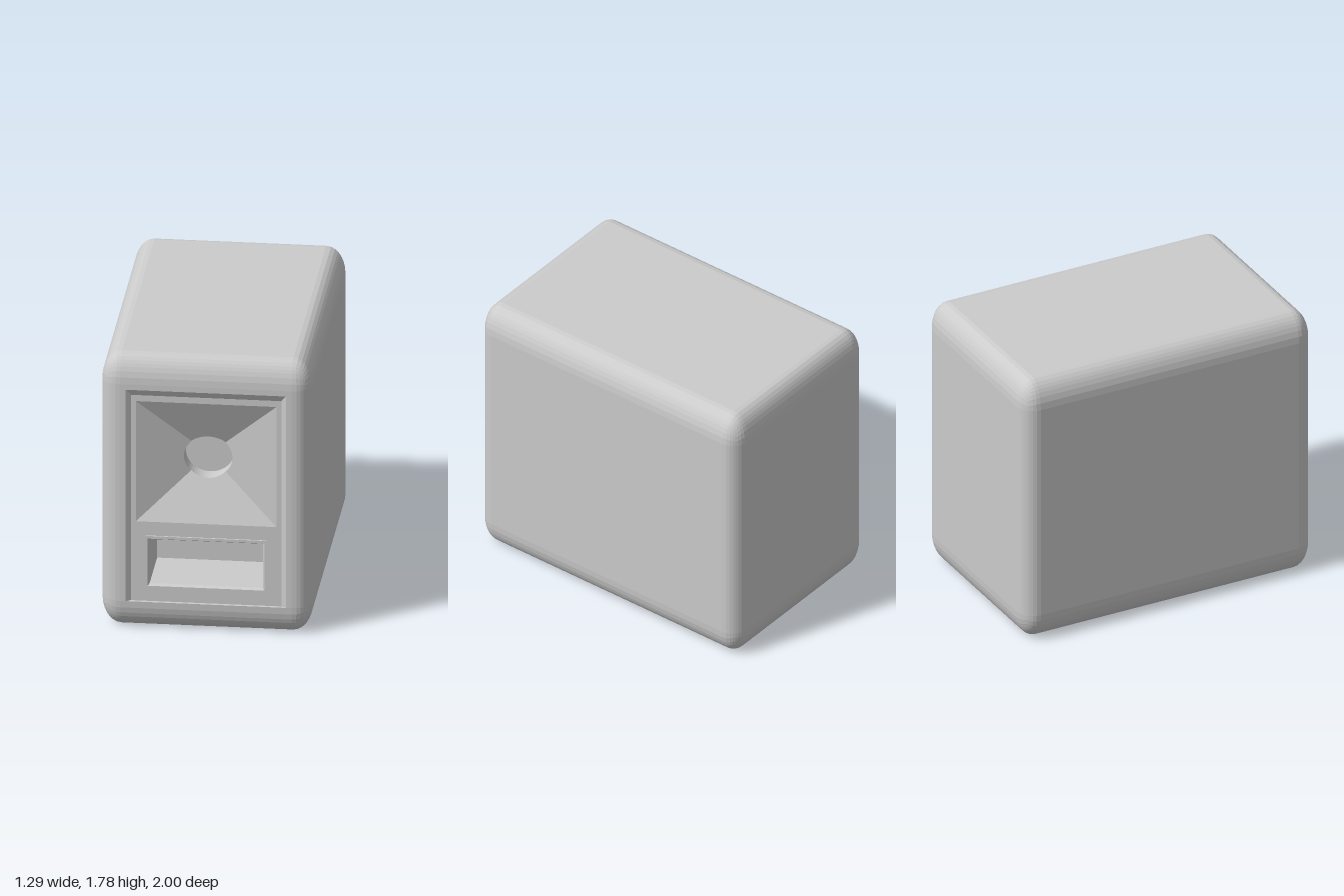
import * as THREE from 'three';
import { RoundedBoxGeometry } from 'three/addons/geometries/RoundedBoxGeometry.js';

const W = 1.29, H = 1.785, D = 2;
const R = [0.12, 0.18, 0.11]; // edge radius along x, y, z
const FRONT = D / 2, PANEL = FRONT - 0.02;
const material = new THREE.MeshStandardMaterial({ color: 0xcccccc, flatShading: true });

function add(group, name, geometry, z = 0) {
  const mesh = new THREE.Mesh(geometry, material);
  mesh.name = name;
  mesh.position.z = z;
  group.add(mesh);
}

// Counter-clockwise rectangle loop
const rect = (hx, y0, y1, z = 0) =>
  [[-hx, y0], [hx, y0], [hx, y1], [-hx, y1]].map(([x, y]) => new THREE.Vector3(x, y, z));

// Flat face with optional holes
function plate(outline, holes = []) {
  const to2 = (loop) => loop.map((p) => new THREE.Vector2(p.x, p.y));
  const shape = new THREE.Shape(to2(outline));
  holes.forEach((h) => shape.holes.push(new THREE.Path(to2(h))));
  return new THREE.ShapeGeometry(shape);
}

// Skin through closed loops, ordered from the outside inwards
function loft(loops) {
  const points = [];
  for (let k = 0; k < loops.length - 1; k++) {
    const a = loops[k], b = loops[k + 1], n = a.length;
    for (let i = 0; i < n; i++) {
      const j = (i + 1) % n;
      points.push(a[i], a[j], b[j], a[i], b[j], b[i]);
    }
  }
  const geometry = new THREE.BufferGeometry().setFromPoints(points);
  geometry.computeVertexNormals();
  return geometry;
}

// Rounded box with a different radius per axis and its flat front left open
function cabinetGeometry() {
  const box = new RoundedBoxGeometry(W, H, D, 4, 0.1).toNonIndexed();
  const pos = box.attributes.position, nor = box.attributes.normal;
  const half = [W / 2, H / 2, D / 2], points = [];
  for (let i = 0; i < pos.count; i += 3) {
    const tri = [0, 1, 2].map((k) => new THREE.Vector3(...half.map((h, axis) => {
      const side = Math.sign(pos.getComponent(i + k, axis));
      return side * (h - R[axis]) + nor.getComponent(i + k, axis) * R[axis];
    })));
    if (tri.every((p) => p.z > FRONT - 1e-4)) continue;
    points.push(...tri);
  }
  const geometry = new THREE.BufferGeometry().setFromPoints(points);
  geometry.translate(0, H / 2, 0);
  geometry.computeVertexNormals();
  return geometry;
}

export function createModel() {
  const group = new THREE.Group();
  group.name = 'loudspeaker';

  add(group, 'cabinet', cabinetGeometry());

  // Front border: an upside-down U around the recess
  const fx = W / 2 - R[0], y0 = R[1], y1 = H - R[1];
  const border = [[-fx, y0], [-0.49, y0], [-0.49, 1.57], [0.49, 1.57], [0.49, y0], [fx, y0], [fx, y1], [-fx, y1]]
    .map(([x, y]) => new THREE.Vector3(x, y, 0));
  add(group, 'frontBorder', plate(border), FRONT);
  add(group, 'recessBevel', loft([rect(0.49, y0, 1.57, FRONT), rect(0.46, y0, 1.53, PANEL)]));

  // Baffle with horn and port openings
  add(group, 'baffle', plate(rect(0.46, y0, 1.53), [rect(0.43, 0.70, 1.49), rect(0.37, 0.27, 0.61)]), PANEL);

  // Pyramid-shaped horn cut by a slightly oval throat
  const hx = 0.43, hy = 0.395, cy = 1.095, depth = 0.17, back = PANEL - 0.22;
  const mouth = [], rim = [], throatEnd = [], n = 48, ratio = 0.345;
  for (let i = 0; i < n; i++) {
    const t = (i / n) * Math.PI * 2, c = Math.cos(t), s = Math.sin(t);
    const m = Math.max(Math.abs(c), Math.abs(s));
    const x = hx * ratio * c, y = cy + hy * ratio * s;
    mouth.push(new THREE.Vector3(hx * c / m, cy + hy * s / m, PANEL));
    rim.push(new THREE.Vector3(x, y, PANEL - depth * (1 - ratio * m)));
    throatEnd.push(new THREE.Vector3(x, y, back));
  }
  add(group, 'horn', loft([mouth, rim]));
  add(group, 'throat', loft([rim, throatEnd]));
  add(group, 'throatEnd', plate(throatEnd), back);

  // Bass port with a thin raised frame
  const lip = PANEL + 0.01, portBack = PANEL - 0.42;
  add(group, 'portFrame', loft([
    rect(0.37, 0.27, 0.61, PANEL), rect(0.37, 0.27, 0.61, lip),
    rect(0.357, 0.283, 0.593, lip), rect(0.347, 0.293, 0.583, PANEL - 0.01),
  ]));
  add(group, 'portDuct', loft([rect(0.347, 0.293, 0.583, PANEL - 0.01), rect(0.347, 0.293, 0.583, portBack)]));
  add(group, 'portBack', plate(rect(0.347, 0.293, 0.583)), portBack);

  return group;
}
